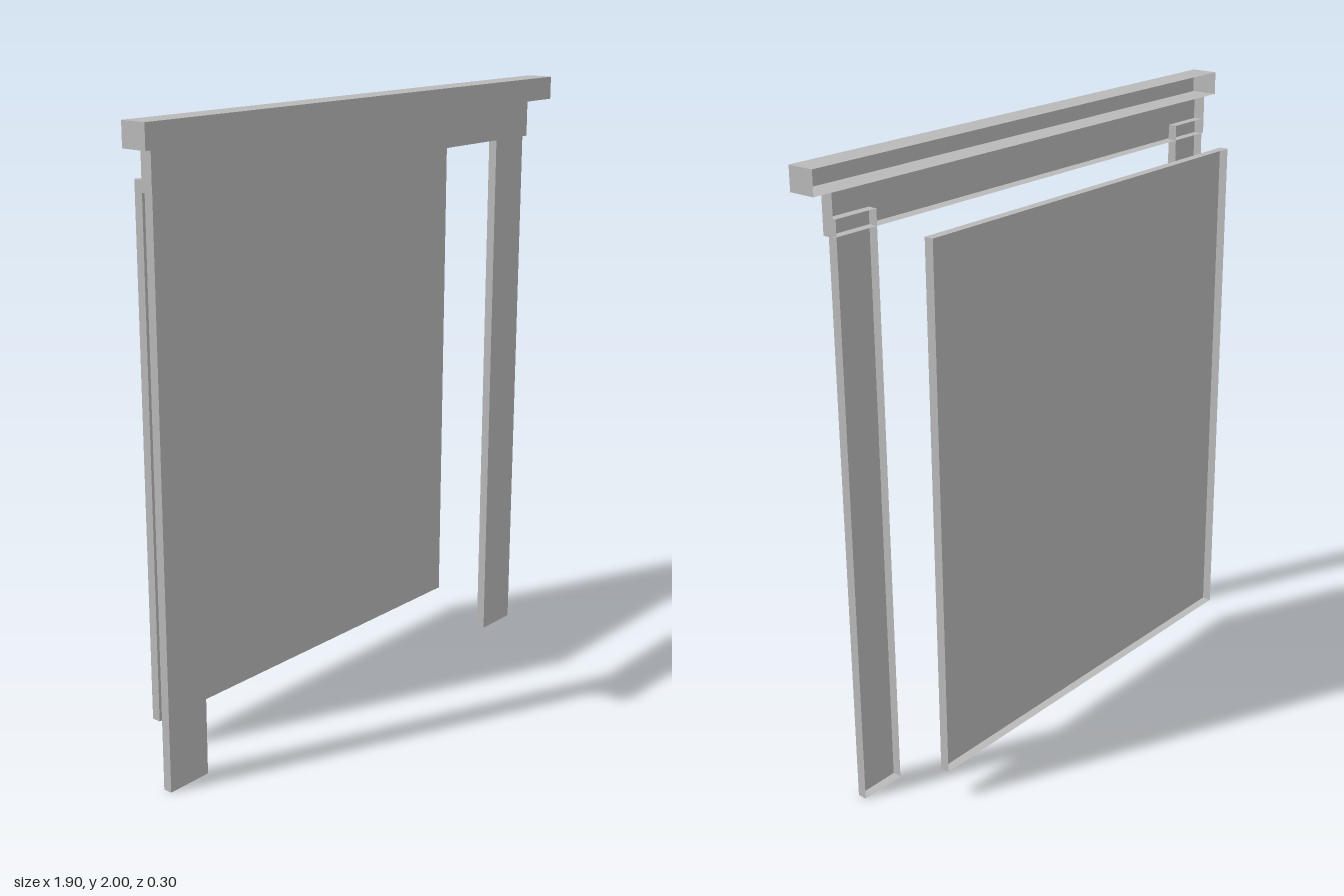
import * as THREE from 'three';

// Hollow box with an open back, given by its x, y and z ranges
function openBackBox(name, material, [x0, x1], [y0, y1], [z0, z1]) {
  const geometry = new THREE.BoxGeometry(x1 - x0, y1 - y0, z1 - z0);
  // the last six indices are the back face
  geometry.setIndex(Array.from(geometry.index.array).slice(0, 30));
  geometry.clearGroups();
  const mesh = new THREE.Mesh(geometry, material);
  mesh.name = name;
  mesh.position.set((x0 + x1) / 2, (y0 + y1) / 2, (z0 + z1) / 2);
  return mesh;
}

export function createModel() {
  const model = new THREE.Group();
  model.name = 'doorSurround';
  const paint = new THREE.MeshStandardMaterial({ color: 0xb8b8b8, side: THREE.DoubleSide });
  paint.name = 'greyPaint';

  // Lintel: projecting cornice over a flat header board
  model.add(openBackBox('cornice', paint, [-0.95, 0.95], [1.925, 2], [0.06, 0.15]));
  model.add(openBackBox('headerBoard', paint, [-0.885, 0.885], [1.8, 1.925], [0.06, 0.1]));

  // Side posts, their tops tucked into the header board
  model.add(openBackBox('leftPost', paint, [0.72, 0.875], [0, 1.85], [0.06, 0.09]));
  model.add(openBackBox('rightPost', paint, [-0.875, -0.72], [0, 1.85], [0.06, 0.09]));

  // Recessed panel behind the opening
  model.add(openBackBox('recessedPanel', paint, [-0.72, 0.72], [0.105, 1.8], [-0.15, -0.12]));

  return model;
}
